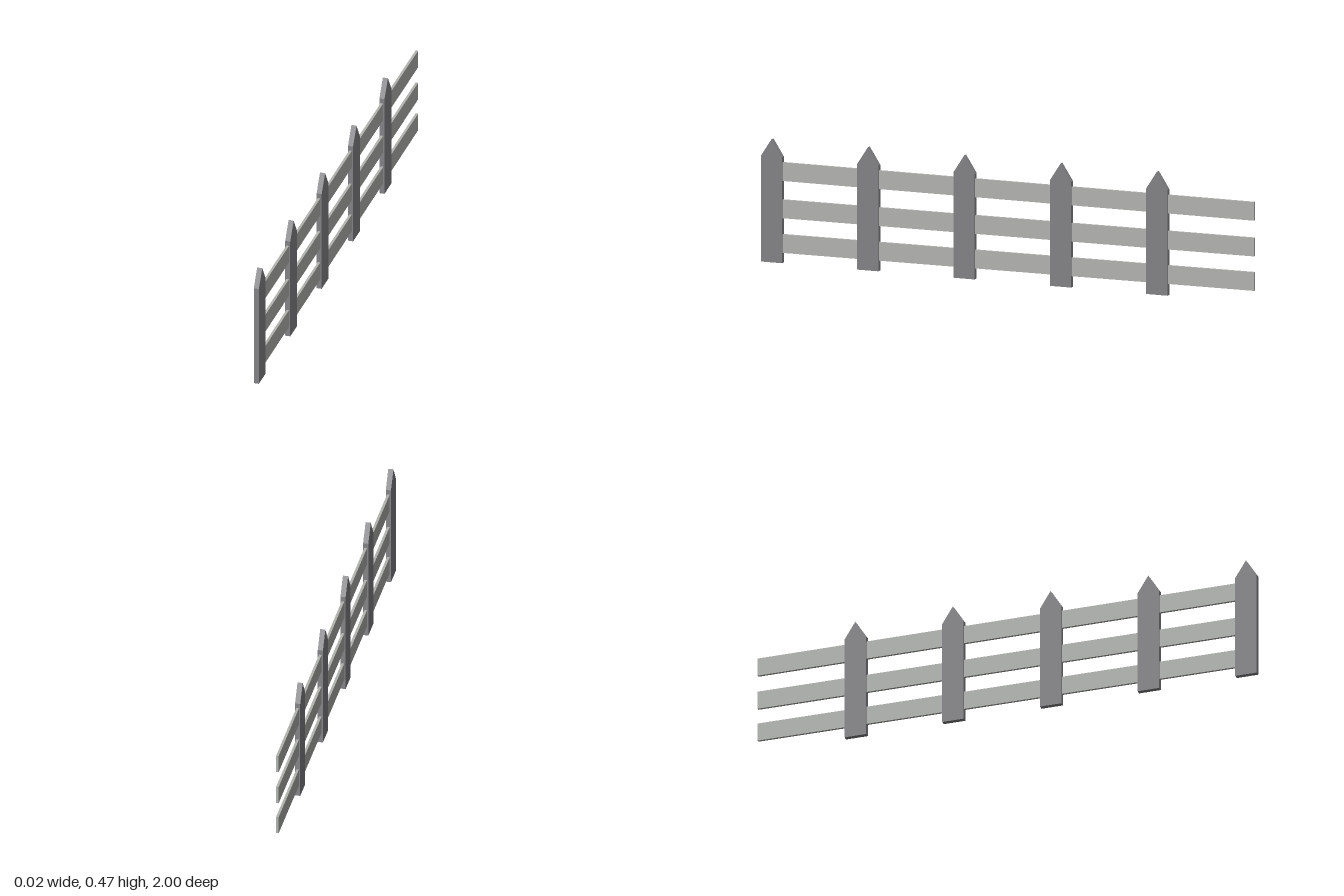
import * as THREE from 'three';

export function createModel() {
  const fence = new THREE.Group();
  fence.name = 'fence';
  const postGrey = new THREE.MeshStandardMaterial({ name: 'post grey', color: 0x838386 });
  const railGrey = new THREE.MeshStandardMaterial({ name: 'rail grey', color: 0xb2b4b0 });

  // Pointed picket outline, extruded along x
  const w = 0.043, depth = 0.02;
  const outline = new THREE.Shape([
    new THREE.Vector2(-w, 0), new THREE.Vector2(w, 0), new THREE.Vector2(w, 0.405),
    new THREE.Vector2(0, 0.472), new THREE.Vector2(-w, 0.405),
  ]);
  const postGeometry = new THREE.ExtrudeGeometry(outline, { depth, bevelEnabled: false });
  postGeometry.translate(0, 0, -depth / 2).rotateY(Math.PI / 2);

  // Five evenly spaced posts, the first flush with the front end
  for (let i = 0; i < 5; i++) {
    const post = new THREE.Mesh(postGeometry, postGrey);
    post.name = 'post' + (i + 1);
    post.position.z = 0.957 - i * 0.391;
    fence.add(post);
  }

  // Three thin rails from inside the first post to the back end; lower two tilt slightly
  const zFront = 0.95, zBack = -1;
  const rails = [
    ['bottomRail', 0.074, 0.081],
    ['middleRail', 0.207, 0.213],
    ['topRail', 0.35, 0.35],
  ];
  for (const [name, yFront, yBack] of rails) {
    const geometry = new THREE.BoxGeometry(0.01, 0.071, zFront - zBack);
    geometry.translate(0, 0, (zFront + zBack) / 2);
    const p = geometry.attributes.position;
    for (let i = 0; i < p.count; i++) p.setY(i, p.getY(i) + (p.getZ(i) > 0 ? yFront : yBack));
    geometry.computeVertexNormals();
    const rail = new THREE.Mesh(geometry, railGrey);
    rail.name = name;
    fence.add(rail);
  }
  return fence;
}
